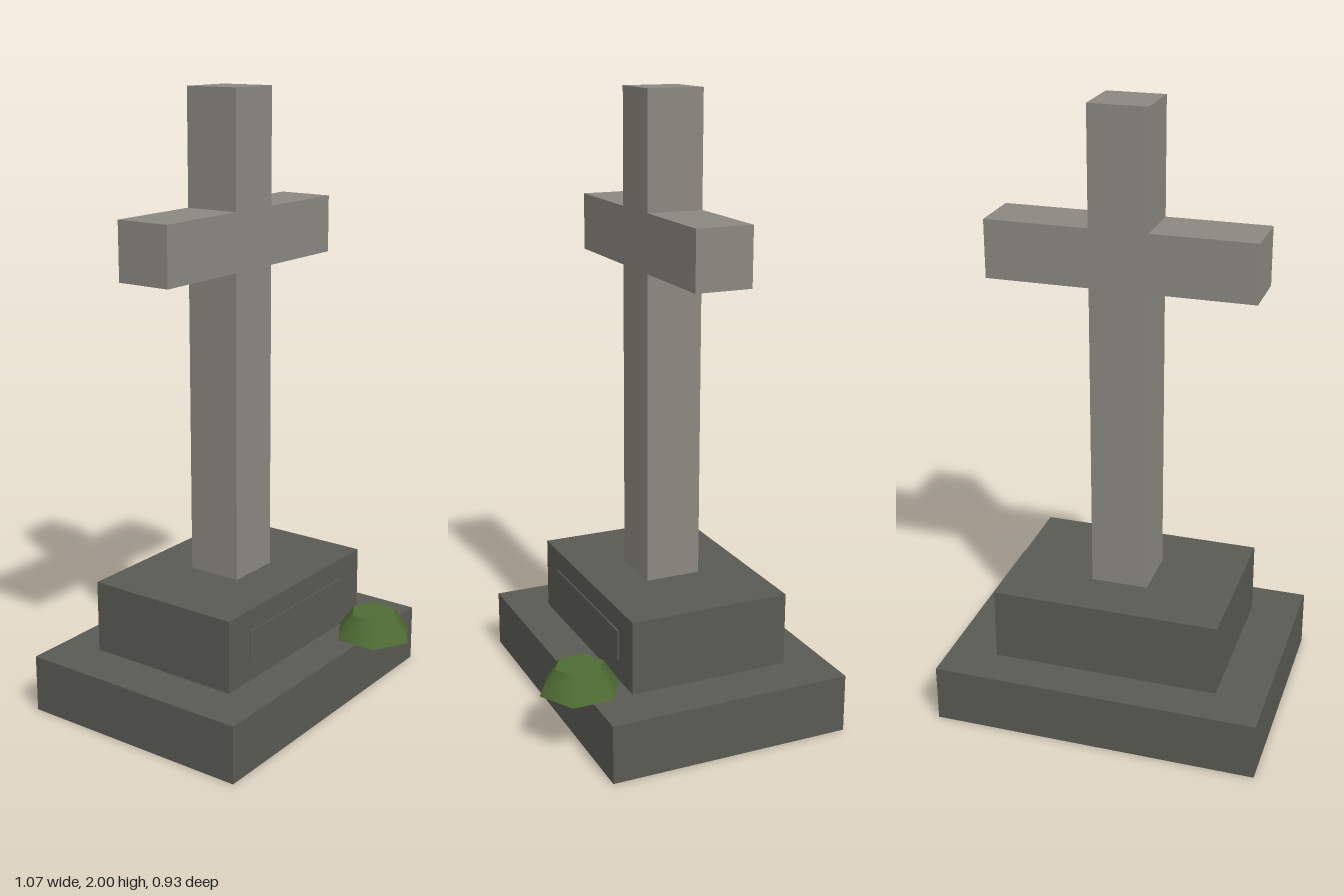
import * as THREE from 'three';

const material = (name, color) => {
  const m = new THREE.MeshStandardMaterial({ color });
  m.name = name;
  return m;
};

export function createModel() {
  const paleStone = material('pale stone', 0x8a8880);
  const darkStone = material('dark stone', 0x5a5a54);
  const mossGreen = material('moss green', 0x4f6b34);

  const model = new THREE.Group();
  model.name = 'stoneCross';

  const add = (name, geometry, mat, x, y, z) => {
    const mesh = new THREE.Mesh(geometry, mat);
    mesh.name = name;
    mesh.position.set(x, y, z);
    model.add(mesh);
  };

  // Block given by its width, its bottom and top, and its back and front
  const block = (name, mat, width, [y0, y1], [z0, z1], x = 0) =>
    add(name, new THREE.BoxGeometry(width, y1 - y0, z1 - z0), mat, x, (y0 + y1) / 2, (z0 + z1) / 2);

  // Stepped base with a thin inscription panel on the front
  block('baseSlab', darkStone, 1.066, [0, 0.19], [-0.467, 0.333]);
  block('plinth', darkStone, 0.746, [0.19, 0.43], [-0.333, 0.2]);
  block('frontPanel', darkStone, 0.533, [0.26, 0.36], [0.2, 0.205]);

  // Cross: one upright with an arm on each side
  const depth = [-0.16, 0.025];
  block('upright', paleStone, 0.187, [0.43, 2], depth);
  for (const side of [-1, 1]) {
    block(side > 0 ? 'leftArm' : 'rightArm', paleStone, 0.333, [1.443, 1.63], depth, side * 0.26);
  }

  // Six-sided moss clump overhanging the slab
  add('mossClump', new THREE.CylinderGeometry(0.08, 0.133, 0.08, 6), mossGreen, 0.267, 0.23, 0.333);

  return model;
}
